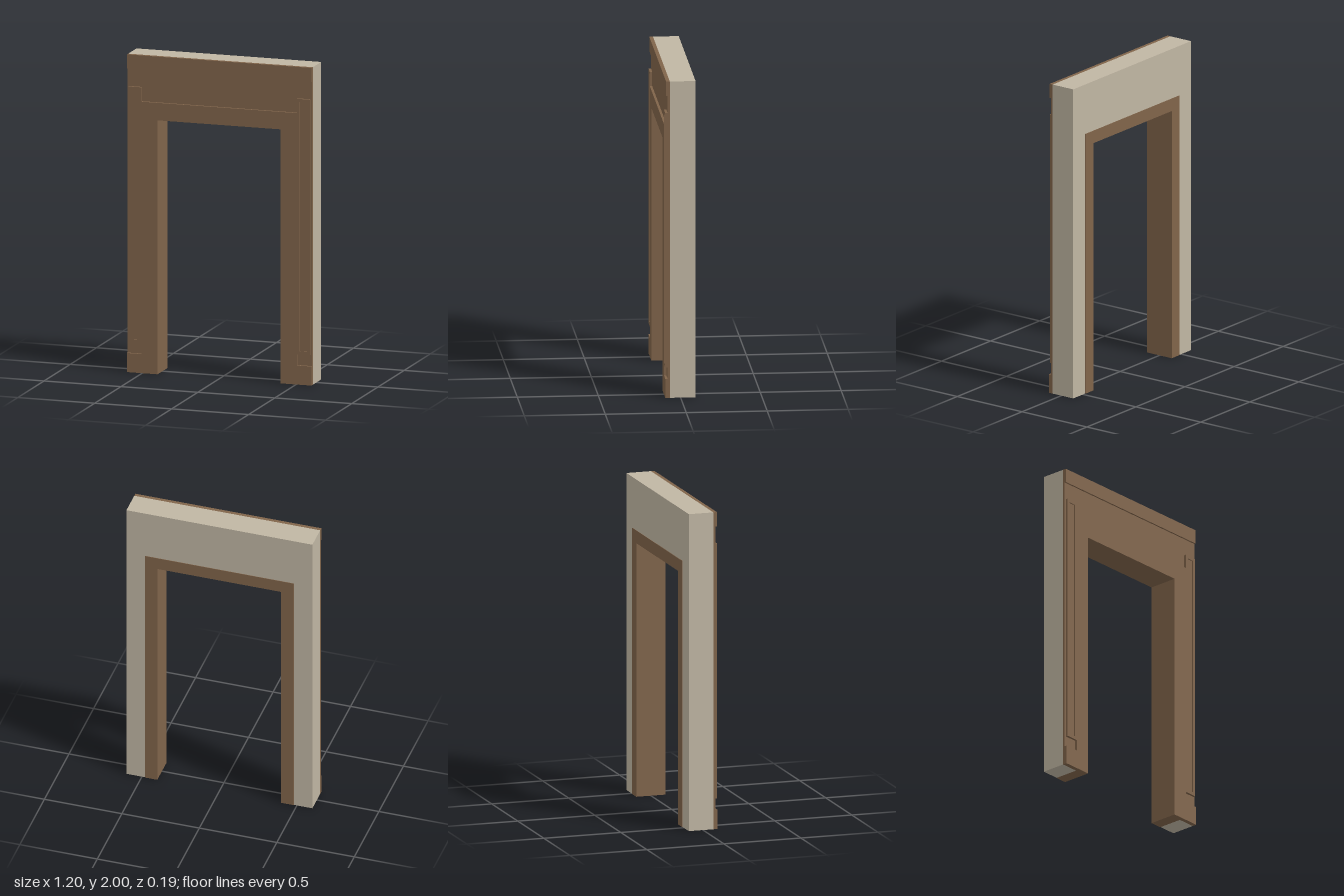
import * as THREE from 'three';

const brown = new THREE.MeshStandardMaterial({ color: 0x80644a });
brown.name = 'brown wood';
const cream = new THREE.MeshStandardMaterial({ color: 0xc0b6a3 });
cream.name = 'cream plaster';

// Symmetric arch: the outer right-hand outline, then the opening, mirrored in x
function archShape(outer, openX, openY) {
  const half = [[openX, openY], [openX, 0], ...outer];
  const mirrored = half.slice().reverse().map(([x, y]) => [-x, y]);
  return new THREE.Shape([...half, ...mirrored].map(([x, y]) => new THREE.Vector2(x, y)));
}

function slab(name, shape, z0, z1, material) {
  const geometry = new THREE.ExtrudeGeometry(shape, { depth: z1 - z0, bevelEnabled: false });
  geometry.translate(0, 0, z0);
  const mesh = new THREE.Mesh(geometry, material);
  mesh.name = name;
  return mesh;
}

function rectPath(x0, x1, y0, y1) {
  return new THREE.Path([[x0, y0], [x1, y0], [x1, y1], [x0, y1]].map(([x, y]) => new THREE.Vector2(x, y)));
}

export function createModel() {
  const group = new THREE.Group();
  group.name = 'doorway';

  // Plaster wall around the opening
  group.add(slab('wall', archShape([[0.6, 0], [0.6, 2]], 0.48, 1.68), -0.092, 0.067, cream));

  // Wooden lining, standing slightly proud of the wall at the back
  group.add(slab('lining', archShape([[0.48, 0], [0.48, 1.68]], 0.4, 1.6), -0.095, 0.067, brown));

  // Full-width wooden facing
  group.add(slab('frontFacing', archShape([[0.6, 0], [0.6, 2]], 0.4, 1.6), 0.067, 0.08, brown));

  // Raised casing with plinths, notched bases and taller side pilasters
  const casing = archShape([
    [0.6, 0], [0.6, 0.12], [0.505, 0.12], [0.505, 0.19],
    [0.59, 0.19], [0.59, 1.8], [0.505, 1.8], [0.505, 1.71],
  ], 0.4, 1.6);
  // Sunken groove in each pilaster
  casing.holes.push(rectPath(0.523, 0.57, 0.21, 1.78), rectPath(-0.57, -0.523, 0.21, 1.78));
  group.add(slab('casing', casing, 0.08, 0.095, brown));
  for (const side of [-1, 1]) {
    const floor = new THREE.Mesh(new THREE.BoxGeometry(0.047, 1.57, 0.009), brown);
    floor.position.set(side * 0.5465, 0.995, 0.0845);
    floor.name = side > 0 ? 'leftGrooveFloor' : 'rightGrooveFloor';
    group.add(floor);
  }

  // Top moulding
  const cornice = new THREE.Mesh(new THREE.BoxGeometry(1.2, 0.09, 0.01), brown);
  cornice.position.set(0, 1.955, 0.085);
  cornice.name = 'cornice';
  group.add(cornice);

  return group;
}
